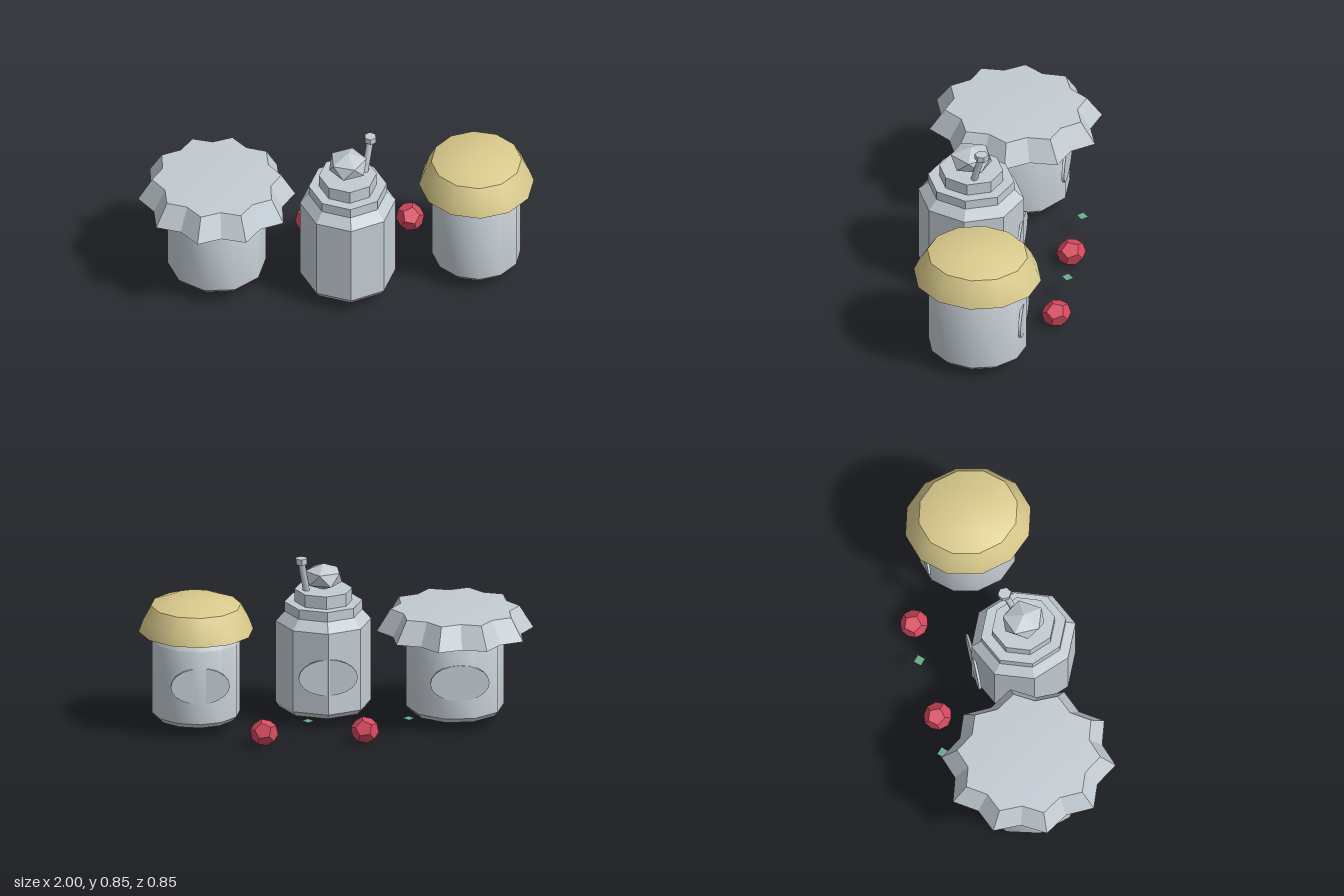
import * as THREE from 'three';
import { toCreasedNormals } from 'three/addons/utils/BufferGeometryUtils.js';

const SX = 0.895; // every round part is slightly narrower in x

export function createModel() {
  const root = new THREE.Group();
  const mat = (name, color, extra = {}) => {
    const m = new THREE.MeshStandardMaterial({ color, ...extra });
    m.name = name;
    return m;
  };
  const ceramic = mat('ceramic grey', 0xc3ccd3);
  const cloth = mat('cloth grey', 0xc3ccd3, { side: THREE.DoubleSide });
  const straw = mat('straw cap', 0xd9ca8c, { side: THREE.DoubleSide });
  const gold = mat('gold lid', 0xd9a441);
  const red = mat('berry red', 0xd84a60);
  const green = mat('leaf green', 0x69aa88, { side: THREE.DoubleSide });

  const add = (name, geo, material, x, y, z, parent = root) => {
    const mesh = new THREE.Mesh(geo, material);
    mesh.name = name;
    mesh.position.set(x, y, z);
    parent.add(mesh);
    return mesh;
  };
  // Turned shape from [radius, height] pairs, listed bottom to top
  const lathe = (pts, sides, crease) => {
    const g = new THREE.LatheGeometry(pts.map(p => new THREE.Vector2(p[0], p[1])), sides, Math.PI / 2);
    return toCreasedNormals(g, crease).scale(SX, 1, 1);
  };
  const jarProfile = r => [[0, 0.06], [r - 0.025, 0.06], [r, 0.085], [r, 0.465], [r - 0.035, 0.505], [0, 0.51]];

  // Oval label on the back of each jar
  const label = (x, y, z) => {
    const g = new THREE.CylinderGeometry(1, 1, 0.013, 20).rotateX(Math.PI / 2).scale(0.15, 0.094, 1);
    add('label', g, ceramic, x, y, z);
  };

  // Jar with cloth cover
  const lx = -0.605;
  add('clothJar', lathe(jarProfile(0.278), 10, 0.75), ceramic, lx, 0, 0);
  add('clothJarLid', lathe([[0, 0.5], [0.245, 0.5], [0.245, 0.58], [0, 0.58]], 10, 0.75), gold, lx, 0, 0);
  const cover = new THREE.LatheGeometry(
    [[0.444, 0.48], [0.365, 0.595], [0, 0.615]].map(p => new THREE.Vector2(...p)), 20, Math.PI / 2);
  const pos = cover.attributes.position;
  for (let i = 0; i < pos.count; i++) {
    if (Math.floor(i / 3) % 2) { // pull in every second column for the zigzag hem
      pos.setX(i, pos.getX(i) * 0.86);
      pos.setZ(i, pos.getZ(i) * 0.86);
    }
  }
  add('clothCover', toCreasedNormals(cover, 0.35).scale(SX, 1, 1), cloth, lx, 0, 0);
  label(lx, 0.272, -0.262);

  // Jar with domed cap
  const rx = 0.708;
  add('cappedJar', lathe(jarProfile(0.25), 12, 0.75), ceramic, rx, 0, 0);
  add('cappedJarLid', lathe([[0, 0.5], [0.22, 0.5], [0.22, 0.62], [0, 0.62]], 12, 0.75), gold, rx, 0, 0);
  const tie = new THREE.TorusGeometry(0.235, 0.02, 6, 12).rotateX(Math.PI / 2).scale(SX, 1, 1);
  add('lidTie', tie, red, rx, 0.575, 0);
  add('domedCap', lathe([[0.325, 0.51], [0.298, 0.575], [0.255, 0.645], [0.145, 0.682], [0, 0.69]], 12, 0.7),
    straw, rx, 0, 0);
  label(rx, 0.283, -0.235);

  // Faceted canister with stepped lid
  const canister = new THREE.Group();
  canister.name = 'canister';
  canister.position.set(0.05, 0, 0.13);
  root.add(canister);
  add('canisterBody', lathe([[0, 0.06], [0.25, 0.06], [0.27, 0.085], [0.27, 0.51], [0.22, 0.56], [0, 0.56]], 8, 0.3),
    ceramic, 0, 0, 0, canister);
  add('canisterCollar', lathe([[0.22, 0.555], [0.22, 0.61], [0, 0.61]], 8, 0.3), ceramic, 0, 0, 0, canister);
  add('canisterLid', lathe([[0.163, 0.605], [0.163, 0.675], [0, 0.675]], 8, 0.3), ceramic, 0, 0, 0, canister);
  const knob = new THREE.IcosahedronGeometry(0.118, 0)
    .rotateX(-Math.atan((1 + Math.sqrt(5)) / 2)).rotateY(Math.PI / 2).scale(SX, 0.58, 1);
  add('lidKnob', toCreasedNormals(knob, 0.1), ceramic, 0, 0.737, 0, canister);
  label(0.05, 0.28, -0.13);

  // Dipper leaning out of the lid
  const from = new THREE.Vector3(0.13, 0.62, 0.115);
  const to = new THREE.Vector3(0.168, 0.835, 0.062);
  const dir = to.clone().sub(from);
  const mid = from.clone().add(to).multiplyScalar(0.5);
  const rod = add('dipperHandle', new THREE.CylinderGeometry(0.017, 0.017, dir.length(), 8), ceramic, mid.x, mid.y, mid.z);
  rod.quaternion.setFromUnitVectors(new THREE.Vector3(0, 1, 0), dir.normalize());
  const tip = toCreasedNormals(new THREE.CylinderGeometry(0.035, 0.035, 0.03, 6), 0.3).scale(SX, 1, 1);
  add('dipperEnd', tip, ceramic, to.x, 0.841, 0.06);

  // Berries on the ground, each with a loose leaf
  for (const x of [-0.115, 0.395]) {
    const berry = add('berry', new THREE.DodecahedronGeometry(0.076, 0), red, x, 0.067, -0.355);
    berry.rotation.set(0.3, 0.35, 0.2);
    berry.scale.set(0.94, 0.9, 1);
    const leaf = add('leaf', new THREE.CircleGeometry(0.031, 4).rotateX(-Math.PI / 2), green, x - 0.22, 0.13, -0.38);
    leaf.rotation.x = -0.08;
  }
  return root;
}
